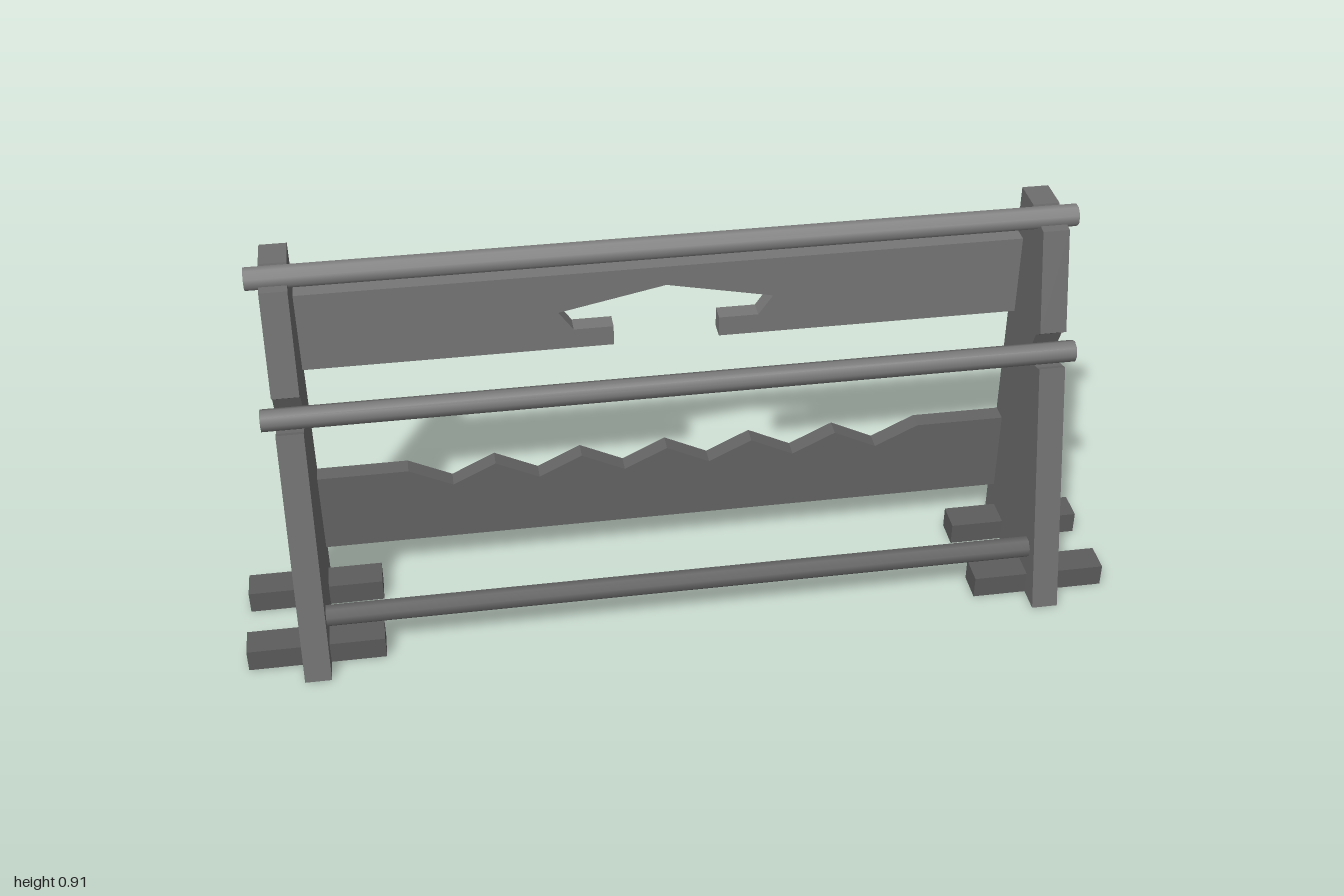
import * as THREE from 'three';

// Greys get darker towards the ground
const grey = (color) => new THREE.MeshStandardMaterial({ color });
const footGrey = grey(0x5c5c5c);
const lowGrey = grey(0x646464);
const panelGrey = grey(0x6d6d6d);
const highGrey = grey(0x767676);
const topGrey = grey(0x858585);

function extrude(points, depth) {
  const shape = new THREE.Shape(points.map(([x, y]) => new THREE.Vector2(x, y)));
  return new THREE.ExtrudeGeometry(shape, { depth, bevelEnabled: false });
}

export function createModel() {
  const group = new THREE.Group();
  const add = (name, geometry, material, x = 0, y = 0, z = 0) => {
    const mesh = new THREE.Mesh(geometry, material);
    mesh.name = name;
    mesh.position.set(x, y, z);
    group.add(mesh);
  };

  // Side panels: tapered profile (z, y) with two rod notches
  const profile = [
    [0.198, 0], [0.048, 0.575], [0.03, 0.568], [0.015, 0.565], [0, 0.569],
    [-0.012, 0.581], [-0.016, 0.603], [0, 0.637], [0.026, 0.655],
    [-0.033, 0.882], [-0.053, 0.885], [-0.066, 0.871], [-0.083, 0.866],
    [-0.1, 0.871], [-0.11, 0.884], [-0.115, 0.905], [-0.197, 0.905], [-0.197, 0],
  ];
  const panel = extrude(profile.map(([z, y]) => [-z, y]), 0.06);
  panel.rotateY(Math.PI / 2);
  panel.translate(-0.03, 0, 0);

  // Feet cross through the panels
  const foot = new THREE.BoxGeometry(0.31, 0.053, 0.07);
  for (const [side, s] of [['left', 1], ['right', -1]]) {
    add(side + 'Panel', panel, panelGrey, s * 0.845);
    add(side + 'FrontFoot', foot, footGrey, s * 0.845, 0.0265, 0.102);
    add(side + 'BackFoot', foot, footGrey, s * 0.845, 0.0265, -0.102);
  }

  // Smooth eight-sided rods along x
  const rod = (name, material, length, y, z, turn) => {
    const geometry = new THREE.CylinderGeometry(0.025, 0.025, length, 8);
    geometry.rotateY(turn);
    geometry.rotateZ(Math.PI / 2);
    add(name, geometry, material, 0, y, z);
  };
  rod('topRod', topGrey, 1.81, 0.89, -0.083, Math.PI / 8);
  rod('middleRod', highGrey, 1.81, 0.592, 0.01, 0);
  rod('bottomRod', lowGrey, 1.63, 0.117, 0.112, Math.PI / 8);

  // Upper back board with a peaked cutout open at the bottom
  const half = [[0.12, 0.605], [0.12, 0.653], [0.21, 0.653], [0.243, 0.7]];
  const upper = [
    [-0.815, 0.605], ...half.map(([x, y]) => [-x, y]), [0, 0.75],
    ...[...half].reverse(), [0.815, 0.605], [0.815, 0.797], [-0.815, 0.797],
  ];
  add('upperBoard', extrude(upper, 0.043), highGrey, 0, 0, -0.197);

  // Lower back board with a zigzag top edge
  const lower = [[-0.815, 0.102], [0.815, 0.102], [0.815, 0.302]];
  for (let i = 6; i >= -6; i--) lower.push([i * 0.101, i % 2 ? 0.252 : 0.302]);
  lower.push([-0.815, 0.302]);
  add('lowerBoard', extrude(lower, 0.043), lowGrey, 0, 0, -0.197);

  return group;
}
